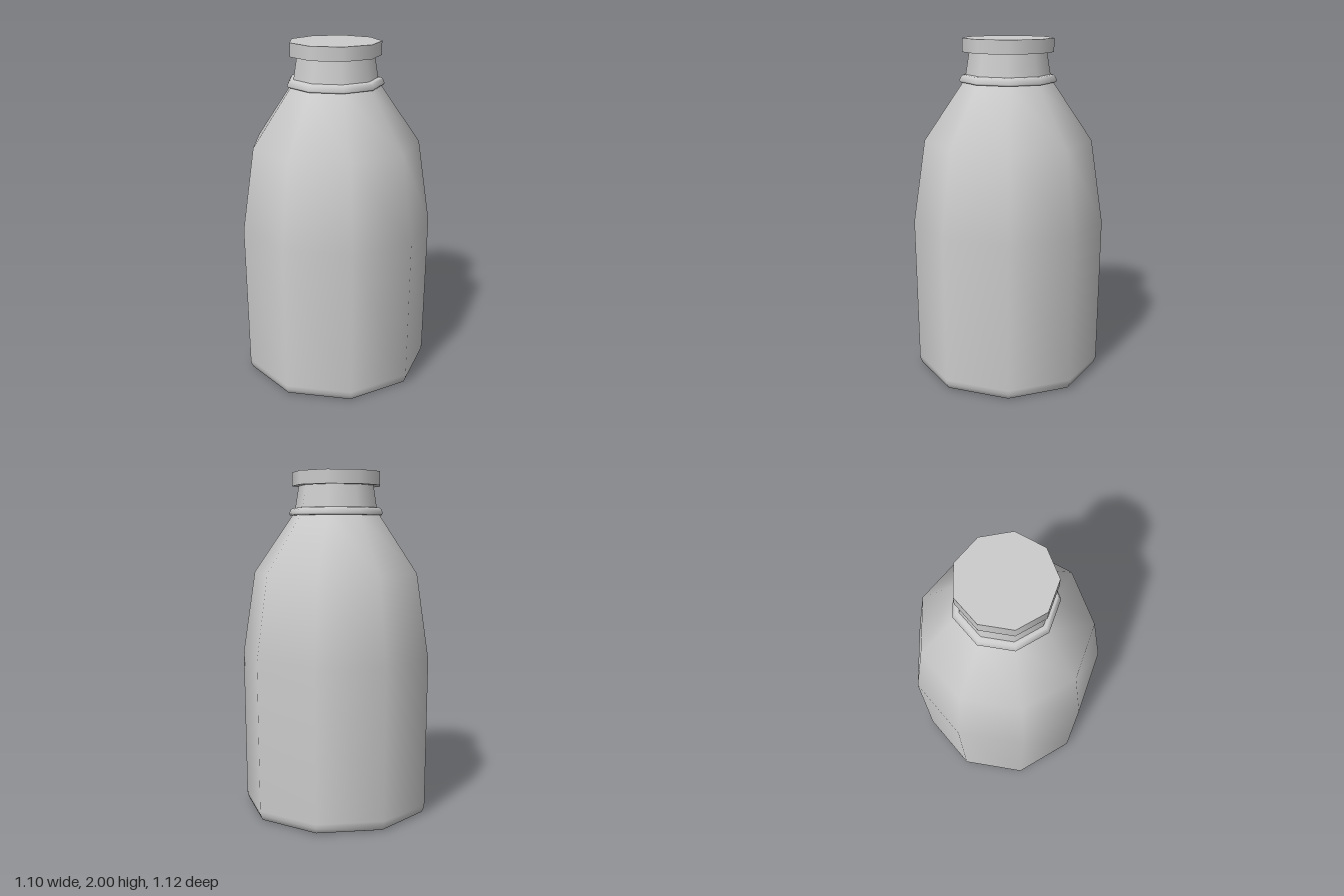
import * as THREE from 'three';

const SIDES = 9;
const material = new THREE.MeshStandardMaterial({ color: 0xcccccc });

// Nine-sided revolved part; profile is [radius, height] from bottom to top
function turned(name, profile) {
  const points = profile.map(([r, y]) => new THREE.Vector2(r, y));
  const mesh = new THREE.Mesh(new THREE.LatheGeometry(points, SIDES, Math.PI / 2), material);
  mesh.name = name;
  return mesh;
}

export function createModel() {
  const bottle = new THREE.Group();
  bottle.name = 'bottle';

  // Body with a bevelled foot, tapering into the shoulder
  bottle.add(turned('body', [
    [0, 0], [0.53, 0], [0.545, 0.006], [0.558, 0.035], [0.56, 0.06],
    [0.568, 0.93], [0.493, 1.42], [0.262, 1.755],
  ]));

  // Raised ring at the base of the neck
  bottle.add(turned('neckRing', [
    [0.255, 1.75], [0.277, 1.752], [0.285, 1.762], [0.274, 1.786], [0.266, 1.793], [0.24, 1.797],
  ]));

  // Neck narrowing towards the cap
  bottle.add(turned('neck', [[0.25, 1.78], [0.243, 1.82], [0.225, 1.93]]));

  // Cap: sharp-edged wall with flat lid and underside
  bottle.add(turned('capUnderside', [[0, 1.922], [0.266, 1.922]]));
  bottle.add(turned('capWall', [[0.266, 1.922], [0.266, 2]]));
  bottle.add(turned('capLid', [[0.266, 2], [0, 2]]));

  // Centre the odd-sided outline on x
  bottle.children.forEach((part) => { part.position.x = -0.017; });
  const model = new THREE.Group();
  model.add(bottle);
  return model;
}
